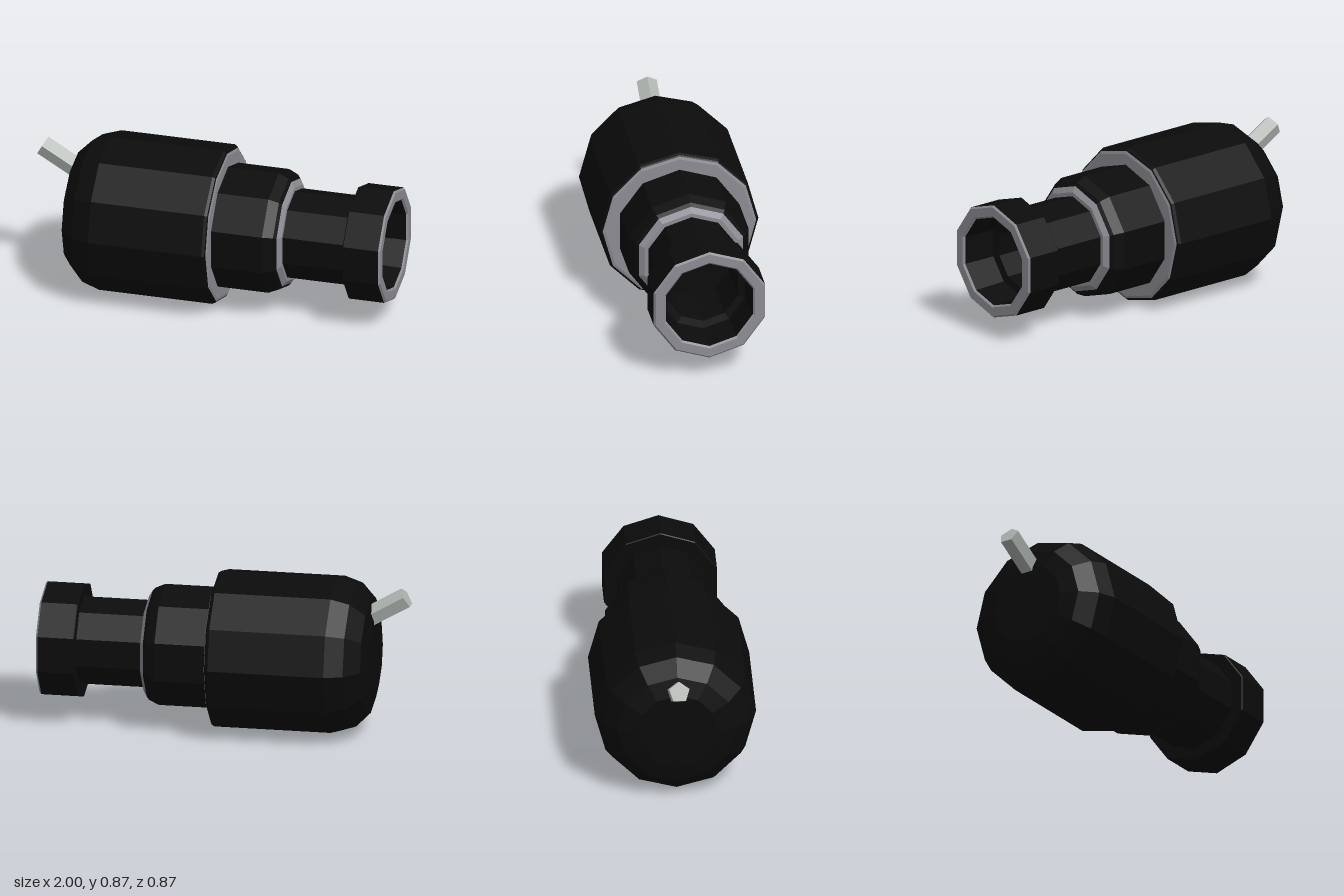
import * as THREE from 'three';

const AXIS_Y = 0.435;

export function createModel() {
  const group = new THREE.Group();
  group.name = 'model';

  const make = (name, color) => {
    const m = new THREE.MeshStandardMaterial({ color, flatShading: true });
    m.name = name;
    return m;
  };
  const black = make('black', 0x0b0b0b);
  const grey = make('grey', 0x8e8d94);
  const metal = make('pale metal', 0xb0b6b2);

  // Revolve an [x, radius] profile about the long x axis, with a corner at the top
  const turn = (name, profile, sides, material) => {
    const points = profile.map(([x, r]) => new THREE.Vector2(r, x));
    const mesh = new THREE.Mesh(new THREE.LatheGeometry(points, sides, Math.PI / 2), material);
    mesh.name = name;
    mesh.rotation.z = -Math.PI / 2;
    mesh.position.y = AXIS_Y;
    group.add(mesh);
  };

  // Large twelve-sided body with a rounded back and a grey shoulder
  turn('body', [[-0.805, 0], [-0.805, 0.22], [-0.78, 0.32], [-0.7, 0.402], [-0.6, 0.435],
    [0.035, 0.435], [0.05, 0.427], [0.055, 0.42]], 12, black);
  turn('bodyShoulder', [[0.055, 0.42], [0.06, 0.405], [0.06, 0.3]], 12, grey);

  // Ten-sided middle barrel with a chamfer and a grey shoulder
  turn('middleBarrel', [[0.04, 0.343], [0.345, 0.343], [0.4, 0.318], [0.415, 0.3]], 10, black);
  turn('middleShoulder', [[0.415, 0.3], [0.435, 0.27], [0.435, 0.22]], 10, grey);

  // Narrow neck and end collar
  turn('neck', [[0.42, 0.247], [0.8, 0.247]], 10, black);
  turn('collar', [[0.79, 0.24], [0.79, 0.315], [0.795, 0.32], [0.99, 0.32]], 10, black);

  // Grey rim with small bevels inside and out
  turn('collarRim', [[0.99, 0.32], [1, 0.31], [1, 0.26], [0.99, 0.25]], 10, grey);

  // Hollow bore, stepped inside and closed at the bottom
  turn('bore', [[0.99, 0.25], [0.8, 0.24], [0.79, 0.2], [0.5, 0.2], [0.5, 0]], 10, black);

  // Five-sided pin slanting up out of the back
  const length = 0.3;
  const pinGeometry = new THREE.CylinderGeometry(0.058, 0.058, length, 5);
  // Lay along x with one corner up; the outer end sits at the origin
  pinGeometry.rotateY(Math.PI / 2);
  pinGeometry.rotateZ(Math.PI / 2);
  pinGeometry.translate(length / 2, 0, 0);
  const pin = new THREE.Mesh(pinGeometry, metal);
  pin.name = 'pin';
  pin.rotation.z = -Math.PI / 6;
  pin.position.set(-0.977, 0.776, 0);
  group.add(pin);

  return group;
}
